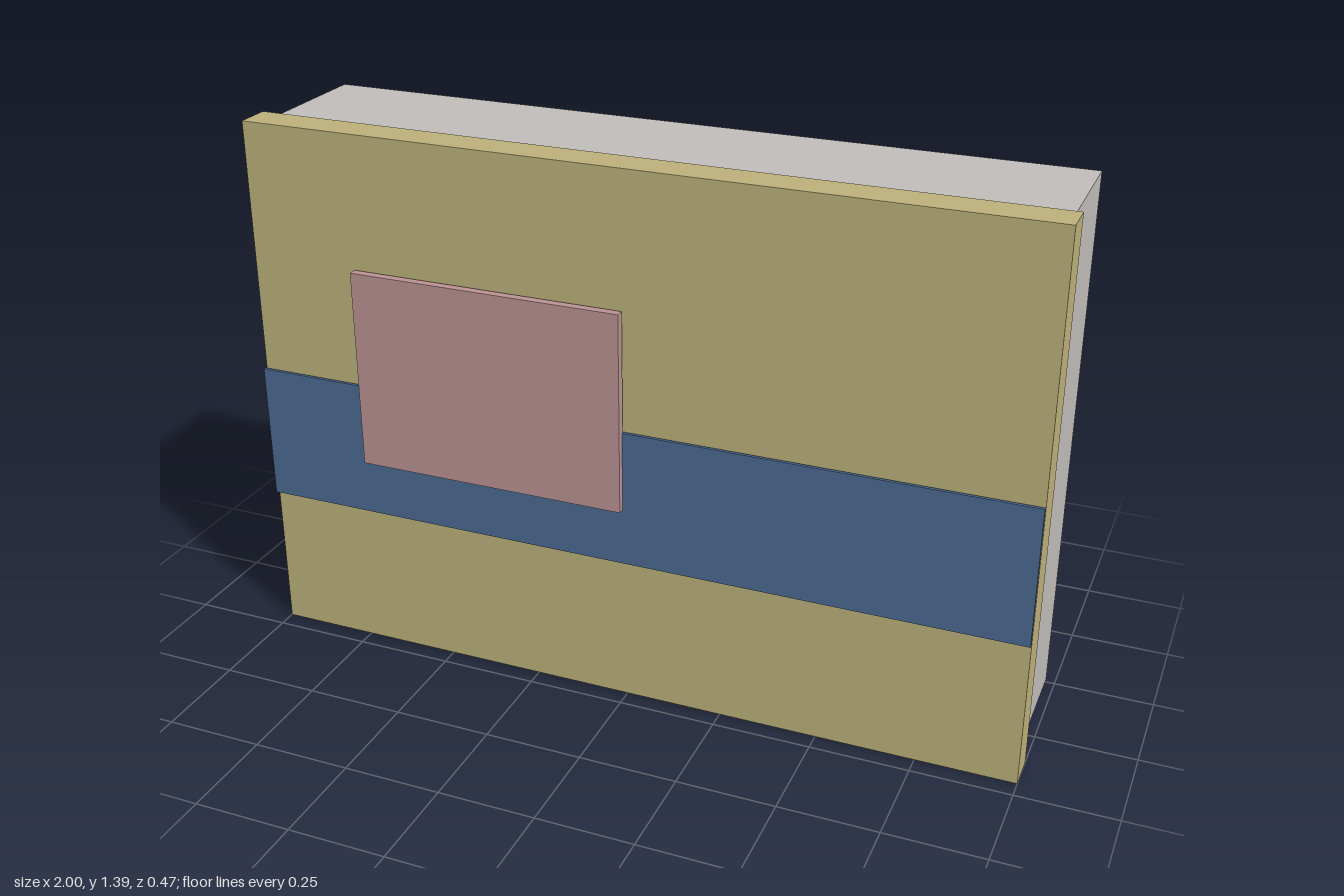
import * as THREE from 'three';

const material = (name, color) => {
  const m = new THREE.MeshStandardMaterial({ color });
  m.name = name;
  return m;
};

// Box given by its lower and upper corners
function block(name, mat, [x0, y0, z0], [x1, y1, z1]) {
  const mesh = new THREE.Mesh(new THREE.BoxGeometry(x1 - x0, y1 - y0, z1 - z0), mat);
  mesh.position.set((x0 + x1) / 2, (y0 + y1) / 2, (z0 + z1) / 2);
  mesh.name = name;
  return mesh;
}

export function createModel() {
  const group = new THREE.Group();
  group.name = 'box';
  const grey = material('warm grey', 0xbfbbb8);
  const olive = material('olive tan', 0xbbb07a);
  const blue = material('slate blue', 0x4a6a90);
  const pink = material('dusty pink', 0xba9292);

  group.add(
    // Box body, slightly smaller than its lid
    block('body', grey, [-0.98, 0.018, -0.234], [0.98, 1.374, 0.113]),
    // Lid on the front
    block('lid', olive, [-1, 0, 0.113], [1, 1.39, 0.203]),
    // Band across the lid, floating just clear of it
    block('band', blue, [-1, 0.387, 0.209], [1, 0.742, 0.217]),
    // Label overlapping the band
    block('label', pink, [-0.71, 0.536, 0.212], [-0.003, 1.051, 0.234]),
  );
  return group;
}
